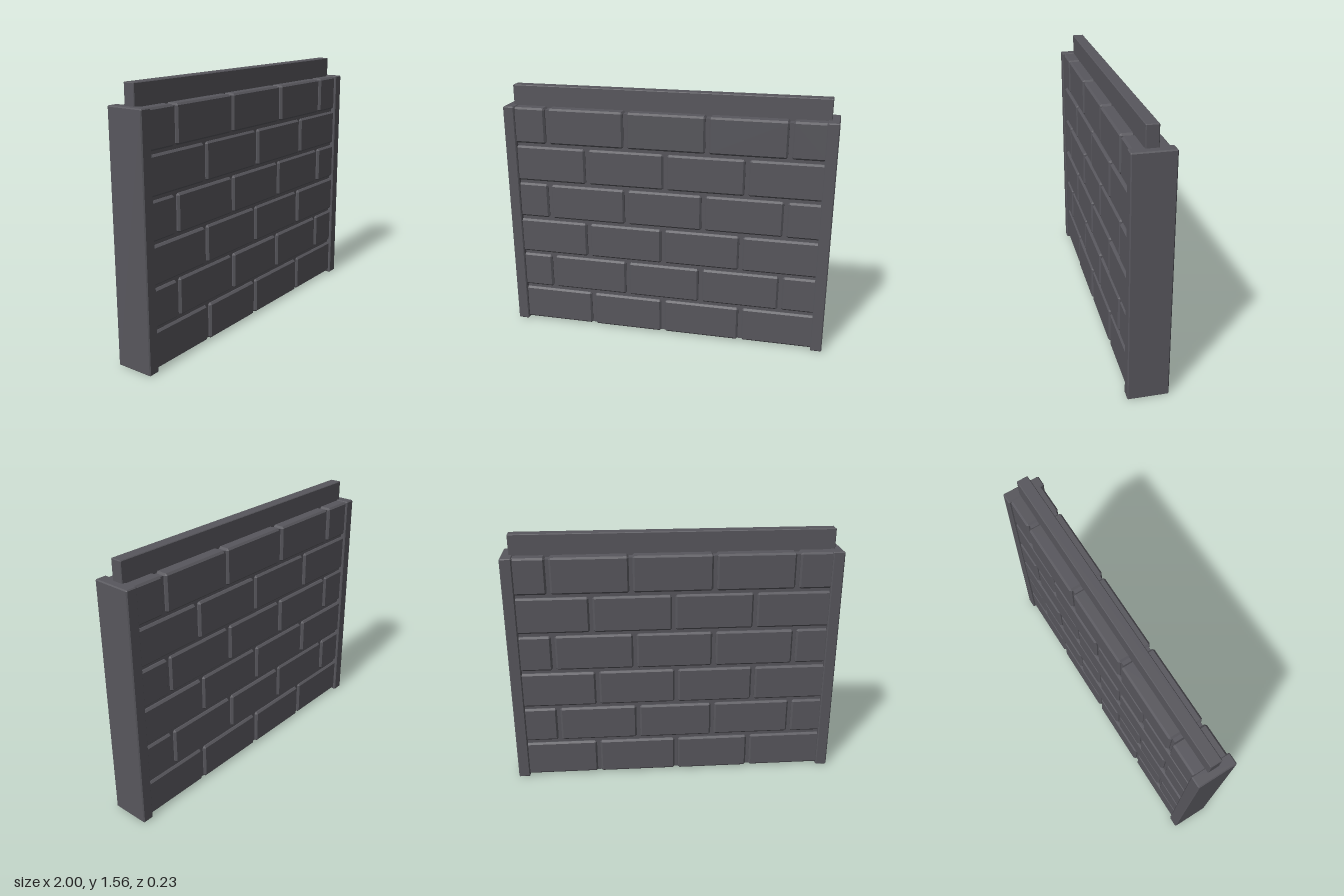
import * as THREE from 'three';
import { ConvexGeometry } from 'three/addons/geometries/ConvexGeometry.js';

const stone = new THREE.MeshStandardMaterial({ color: 0x58575d });
stone.name = 'darkStone';

// Box between two corners with every edge chamfered by c
function chamferBox(name, min, max, c) {
  const half = min.map((v, i) => (max[i] - v) / 2);
  const points = [];
  for (const sx of [-1, 1]) for (const sy of [-1, 1]) for (const sz of [-1, 1]) {
    for (let axis = 0; axis < 3; axis++) {
      const [x, y, z] = half.map((h, i) => (i === axis ? h : h - c));
      points.push(new THREE.Vector3(sx * x, sy * y, sz * z));
    }
  }
  const mesh = new THREE.Mesh(new ConvexGeometry(points), stone);
  mesh.position.set(...min.map((v, i) => (v + max[i]) / 2));
  mesh.name = name;
  return mesh;
}

export function createModel() {
  const model = new THREE.Group();
  model.name = 'brickWallPanel';

  // Mortar behind the joints, and the rail along the top
  const mortar = new THREE.Mesh(new THREE.BoxGeometry(1.9, 1.41, 0.172), stone);
  mortar.position.y = 0.72;
  mortar.name = 'mortarCore';
  model.add(mortar);
  model.add(chamferBox('topRail', [-0.96, 1.38, -0.035], [0.955, 1.56, 0.035], 0.004));

  // End posts
  for (const [name, x] of [['rightPost', -0.965], ['leftPost', 0.965]]) {
    model.add(chamferBox(name, [x - 0.035, 0, -0.117], [x + 0.035, 1.44, 0.117], 0.006));
  }

  // Brick courses from the bottom up, given by the centres of their joints
  const courses = [
    [-0.475, -0.01, 0.485],
    [-0.735, -0.24, 0.23, 0.725],
    [-0.49, -0.01, 0.475],
    [-0.735, -0.24, 0.24, 0.73],
    [-0.485, 0.005, 0.495],
    [-0.73, -0.24, 0.255, 0.735],
  ];
  const gap = 0.011;
  courses.forEach((joints, row) => {
    const course = new THREE.Group();
    course.name = `brickCourse${row + 1}`;
    const edges = [-0.96, ...joints, 0.96];
    const y = 0.01 + row * 0.241;
    for (let i = 0; i < edges.length - 1; i++) {
      // Bricks run through the wall and differ a little in depth
      const d = 0.101 + 0.002 * ((i * 2 + row) % 3);
      course.add(chamferBox('brick', [edges[i] + gap, y, -d], [edges[i + 1] - gap, y + 0.221, d], 0.011));
    }
    model.add(course);
  });
  return model;
}
